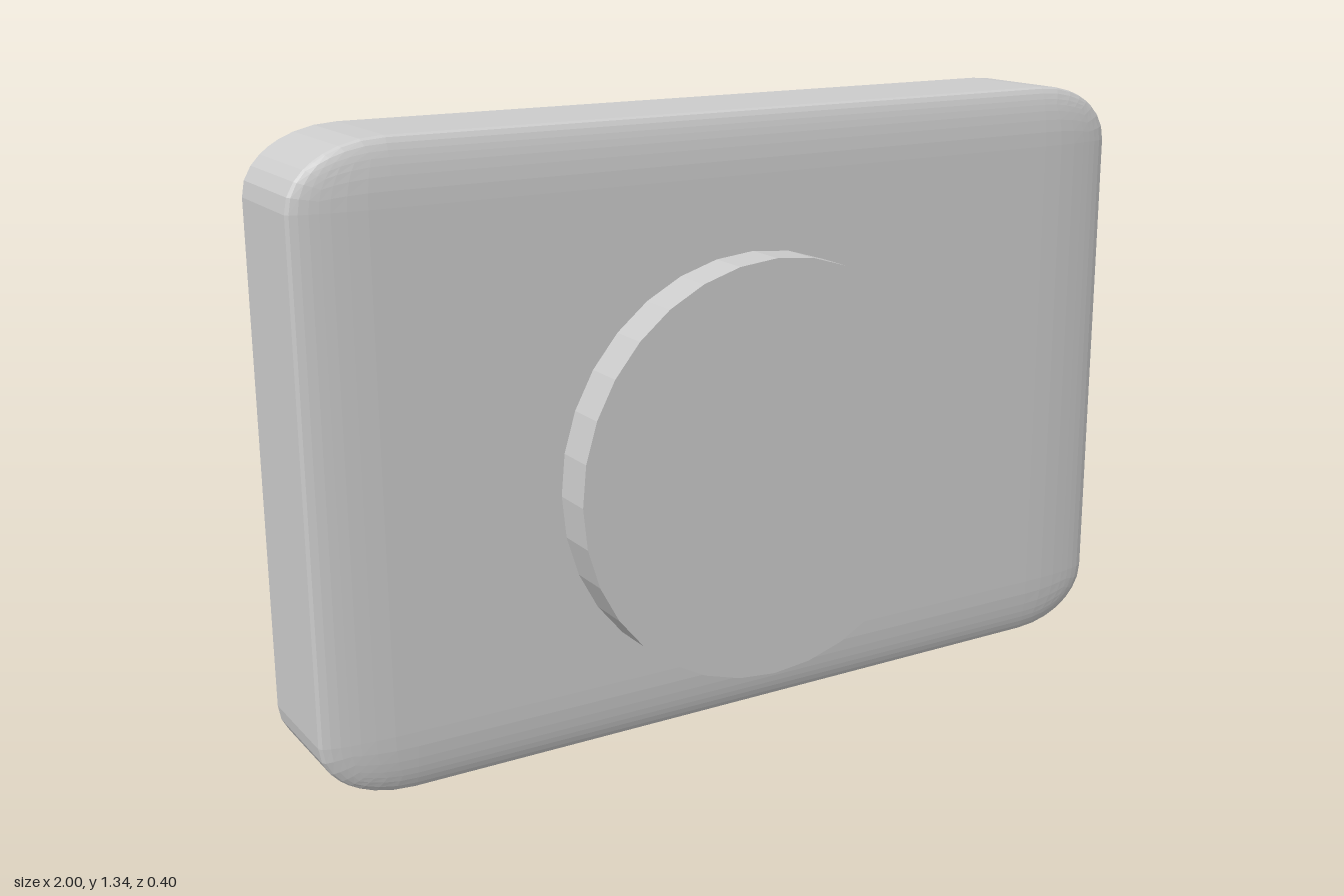
import * as THREE from 'three';
import { RoundedBoxGeometry } from 'three/addons/geometries/RoundedBoxGeometry.js';

export function createModel() {
  const model = new THREE.Group();
  const material = new THREE.MeshStandardMaterial({ color: 0xcccccc, flatShading: true });

  // Slab body: a rounded cube stretched to size, so its corners become elliptical
  const bodyGeometry = new RoundedBoxGeometry(1, 1, 1, 4, 0.1);
  bodyGeometry.scale(2, 1.335, 0.302);
  const body = new THREE.Mesh(bodyGeometry, material);
  body.name = 'body';
  body.position.set(0, 0.6675, -0.047);
  model.add(body);

  // Round disc standing out from the front, its back sunk slightly into the body
  const discGeometry = new THREE.CylinderGeometry(0.464, 0.464, 0.12, 32);
  discGeometry.rotateX(Math.PI / 2);
  const disc = new THREE.Mesh(discGeometry, material);
  disc.name = 'frontDisc';
  disc.position.set(0, 0.575, 0.138);
  model.add(disc);

  return model;
}
